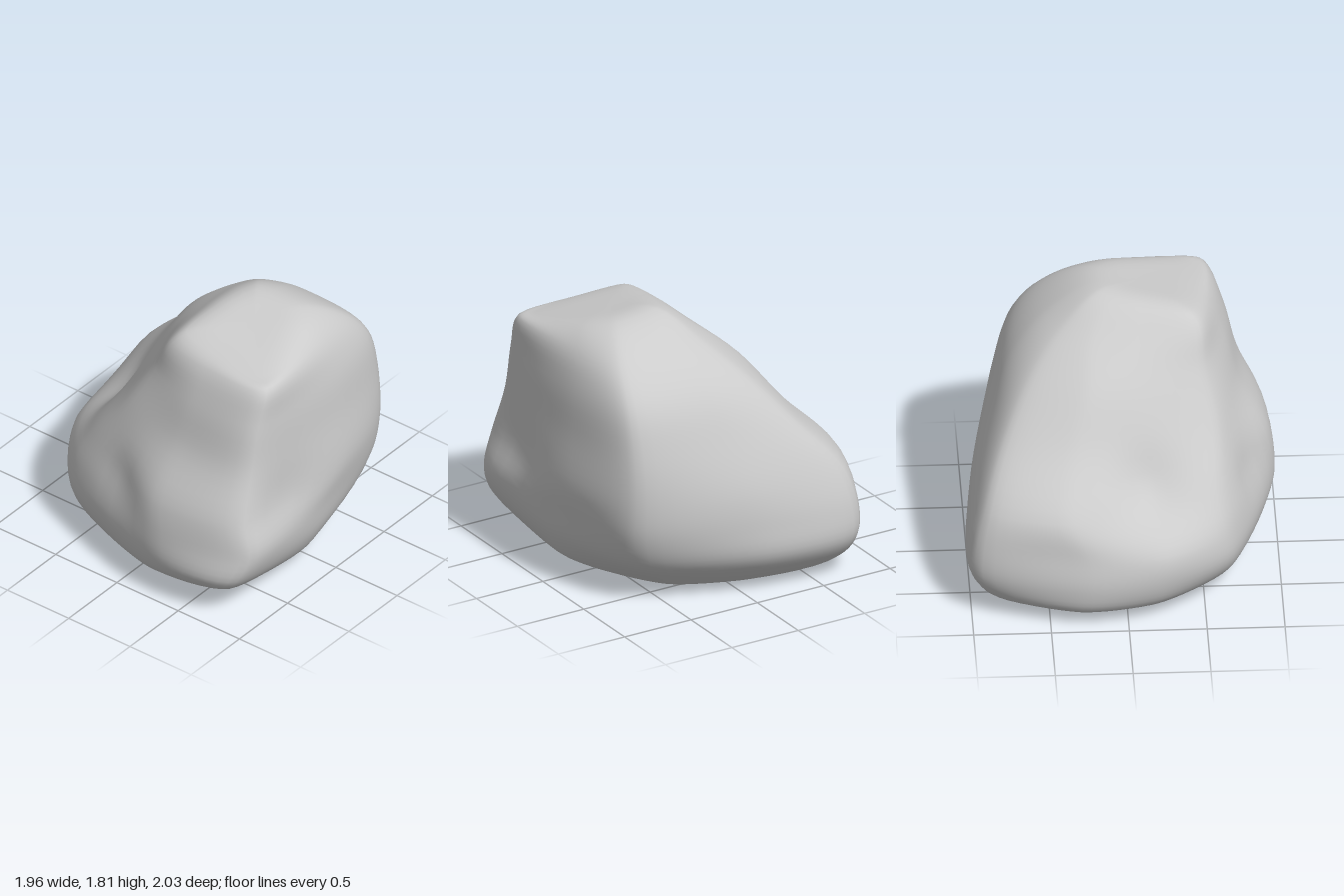
import * as THREE from 'three';
import { mergeVertices } from 'three/addons/utils/BufferGeometryUtils.js';

// Cross-sections from bottom to top, each with nine x,z points running from the
// front left corner (+x +z) along the +x side, the back, the -x side and the front.
const heights = [0.11, 0.28, 0.5, 0.75, 1.08, 1.4, 1.63, 1.8];
const rings = [
  [0.67, 0.71, 0.8, 0.08, 0.5, -0.55, -0.1, -0.83, -0.7, -0.86, -0.93, -0.3, -0.85, 0.2, -0.5, 0.63, 0.15, 0.85],
  [0.85, 0.87, 0.9, 0.08, 0.67, -0.65, -0.1, -0.97, -0.77, -0.97, -0.98, -0.28, -0.93, 0.23, -0.6, 0.69, 0.28, 0.98],
  [0.94, 0.82, 0.94, 0.05, 0.75, -0.72, -0.05, -0.98, -0.77, -0.97, -0.95, -0.3, -0.91, 0.25, -0.6, 0.67, 0.28, 0.99],
  [0.89, 0.8, 0.95, -0.15, 0.76, -0.76, 0, -0.95, -0.7, -0.91, -0.88, -0.4, -0.7, 0.17, -0.5, 0.62, 0.25, 0.94],
  [0.86, 0.69, 0.92, -0.15, 0.76, -0.74, 0.08, -0.84, -0.43, -0.78, -0.57, -0.35, -0.46, 0.15, -0.25, 0.6, 0.3, 0.77],
  [0.86, 0.62, 0.89, -0.15, 0.75, -0.65, 0.2, -0.7, -0.17, -0.6, -0.32, -0.25, -0.26, 0.1, -0.08, 0.52, 0.35, 0.68],
  [0.86, 0.54, 0.82, -0.1, 0.69, -0.45, 0.28, -0.49, 0.05, -0.4, -0.05, -0.2, -0.05, 0.1, 0.03, 0.5, 0.4, 0.58],
  [0.77, 0.46, 0.7, 0, 0.57, -0.17, 0.35, -0.18, 0.23, -0.15, 0.18, -0.05, 0.14, 0.12, 0.12, 0.43, 0.4, 0.49],
];

// Soft hollows: centre, radius, push
const hollows = [
  { at: [-0.56, 0.85, 0.12], radius: 0.2, push: [0.04, -0.05, -0.01] },
  { at: [-0.1, 0.65, 0.8], radius: 0.2, push: [0.01, 0, -0.05] },
  { at: [0.93, 0.75, 0.42], radius: 0.24, push: [-0.04, 0, 0] },
];

function createRockGeometry(around = 72, up = 50) {
  // One curve per column, from the centre of the underside to the crown
  const columns = [];
  for (let c = 0; c < 9; c++) {
    const points = [new THREE.Vector3(0, 0.01, -0.12)];
    points.push(new THREE.Vector3(rings[0][c * 2] * 0.68, 0.015, rings[0][c * 2 + 1] * 0.66 - 0.12));
    rings.forEach((ring, k) => {
      const x = ring[c * 2], z = ring[c * 2 + 1];
      const tilt = k === rings.length - 1 ? -0.16 * z - 0.08 * x : 0; // crown falls to the front left
      points.push(new THREE.Vector3(x, heights[k] + tilt, z));
    });
    points.push(new THREE.Vector3(0.42, 1.765, 0.12));
    columns.push(new THREE.CatmullRomCurve3(points));
  }

  // Closed loops through the columns
  const positions = [], indices = [];
  for (let j = 0; j <= up; j++) {
    const pole = j === 0 || j === up;
    const samples = columns.map((column) => column.getPoint(j / up));
    const loop = new THREE.CatmullRomCurve3(samples, true, 'catmullrom', 0.36);
    for (let i = 0; i < around; i++) {
      const p = pole ? samples[0].clone() : loop.getPoint(i / around);
      for (const { at, radius, push } of hollows) {
        const d = p.distanceTo(new THREE.Vector3(...at)) / radius;
        p.addScaledVector(new THREE.Vector3(...push), Math.exp(-d * d));
      }
      positions.push(p.x, Math.max(0, p.y), p.z);
      if (j === up) continue;
      const a = j * around + i, b = j * around + ((i + 1) % around);
      if (j > 0) indices.push(a, b, a + around);
      if (j < up - 1) indices.push(b, b + around, a + around);
    }
  }
  let geometry = new THREE.BufferGeometry();
  geometry.setAttribute('position', new THREE.Float32BufferAttribute(positions, 3));
  geometry.setIndex(indices);
  geometry = mergeVertices(geometry, 1e-5);
  geometry.computeVertexNormals();
  return geometry;
}

export function createModel() {
  const group = new THREE.Group();
  group.name = 'boulder';
  const rock = new THREE.Mesh(createRockGeometry(), new THREE.MeshStandardMaterial({ color: 0xcccccc }));
  rock.name = 'rock';
  group.add(rock);
  return group;
}
